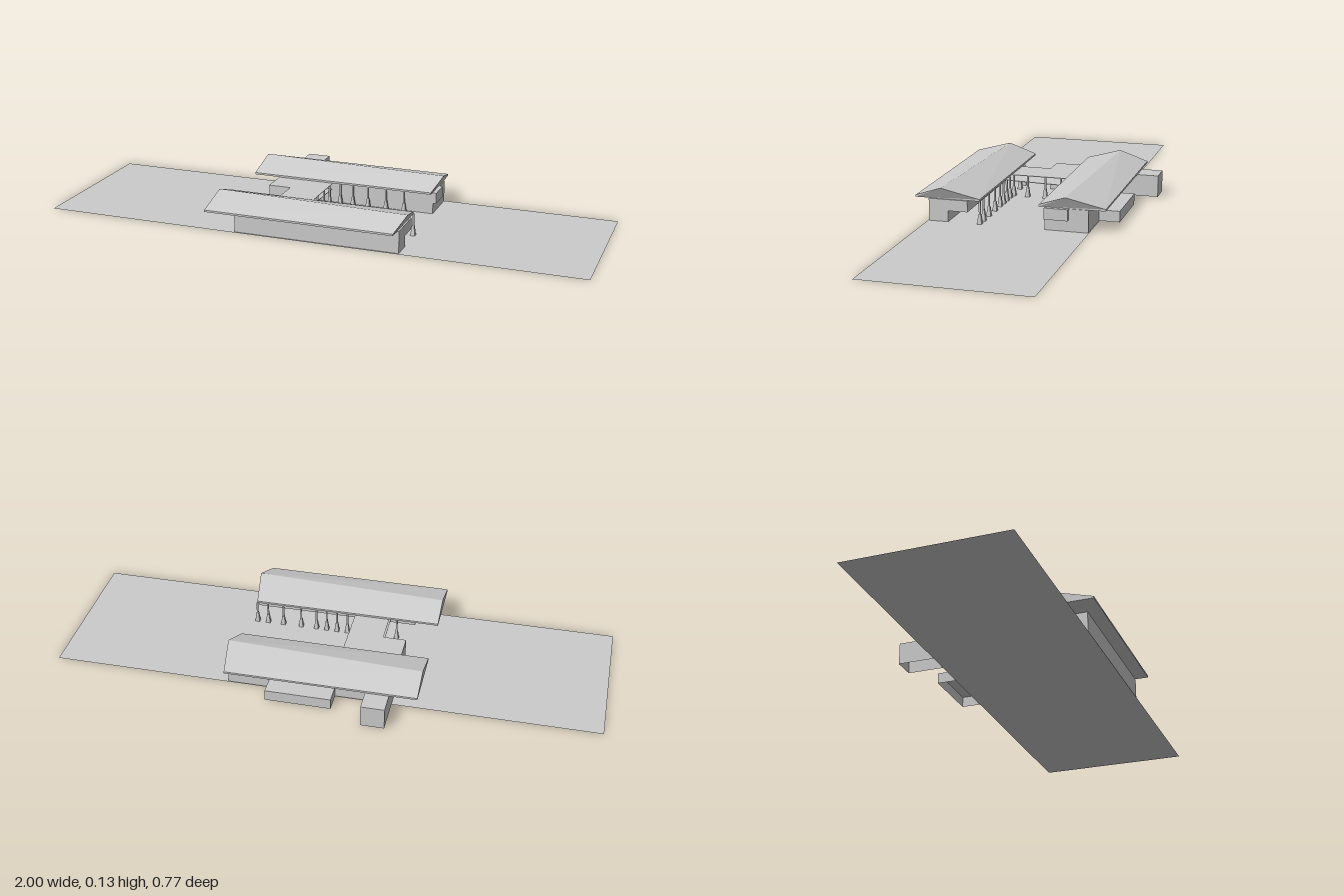
import * as THREE from 'three';

const grey = new THREE.MeshStandardMaterial({ color: 0xcccccc, flatShading: true, side: THREE.DoubleSide });
const WALL_TOP = 0.083;
const BASE = 0.002;

function addMesh(parent, name, geometry) {
  const mesh = new THREE.Mesh(geometry, grey);
  mesh.name = name;
  parent.add(mesh);
  return mesh;
}

// Box given by its limits; openBottom drops the underside
function addBox(parent, name, [x0, x1], [y0, y1], [z0, z1], openBottom = false) {
  const g = new THREE.BoxGeometry(x1 - x0, y1 - y0, z1 - z0);
  if (openBottom) {
    const index = Array.from(g.index.array);
    index.splice(18, 6);
    g.setIndex(index);
    g.clearGroups();
  }
  g.translate((x0 + x1) / 2, (y0 + y1) / 2, (z0 + z1) / 2);
  return addMesh(parent, name, g);
}

// Gable roof with a skewed ridge and a pointed +x end
function roofGeometry(zBack, zFront, ridgeLeft, ridgeRight) {
  const section = (xEave, xRidge, zRidge) => [
    [xEave, WALL_TOP, zFront], [xEave, 0.09, zFront], [xRidge, 0.127, zRidge],
    [xEave, 0.09, zBack], [xEave, WALL_TOP, zBack],
  ];
  const a = section(-0.355, -0.355, ridgeLeft);
  const b = section(0.342, 0.363, ridgeRight);
  const pos = [];
  const tri = (...points) => points.forEach((p) => pos.push(...p));
  for (let i = 0; i < 5; i++) {
    const j = (i + 1) % 5;
    tri(a[i], b[i], b[j]);
    tri(a[i], b[j], a[j]);
  }
  for (let i = 1; i < 4; i++) {
    tri(a[0], a[i], a[i + 1]);
    tri(b[0], b[i + 1], b[i]);
  }
  const g = new THREE.BufferGeometry();
  g.setAttribute('position', new THREE.Float32BufferAttribute(pos, 3));
  g.computeVertexNormals();
  return g;
}

// Thin square post on a flared pedestal
function addColumn(parent, x, z) {
  const column = new THREE.Group();
  column.name = 'column';
  const pedestal = new THREE.CylinderGeometry(0.006, 0.012, 0.036, 4);
  pedestal.rotateY(Math.PI / 4);
  pedestal.translate(0, BASE + 0.018, 0);
  addMesh(column, 'pedestal', pedestal);
  addBox(column, 'post', [-0.003, 0.003], [0.036, WALL_TOP], [-0.003, 0.003]);
  column.position.set(x, 0, z);
  parent.add(column);
}

export function createModel() {
  const model = new THREE.Group();
  model.name = 'courtyardBuilding';

  // Ground sheet
  const ground = new THREE.PlaneGeometry(2, 0.585);
  ground.rotateX(-Math.PI / 2);
  ground.translate(0, 0.001, 0.0455);
  addMesh(model, 'ground', ground);

  // Front wing
  const front = new THREE.Group();
  front.name = 'frontWing';
  addBox(front, 'walls', [-0.263, 0.348], [BASE, WALL_TOP], [0.262, 0.333], true);
  addBox(front, 'upperRooms', [-0.263, 0.348], [0.042, WALL_TOP], [0.19, 0.262]);
  addMesh(front, 'roof', roofGeometry(0.147, 0.384, 0.253, 0.283));
  model.add(front);

  // Back wing with its rear extensions
  const back = new THREE.Group();
  back.name = 'backWing';
  addBox(back, 'walls', [-0.255, 0.345], [BASE, WALL_TOP], [-0.245, -0.175], true);
  addBox(back, 'lowerRooms', [-0.255, 0.345], [BASE, 0.042], [-0.175, -0.09], true);
  addBox(back, 'upperRooms', [-0.255, 0.357], [0.042, WALL_TOP], [-0.175, -0.09]);
  addBox(back, 'lowExtension', [-0.05, 0.19], [BASE, 0.042], [-0.32, -0.245], true);
  addBox(back, 'tallExtension', [-0.255, -0.17], [BASE, WALL_TOP], [-0.384, -0.245], true);
  addMesh(back, 'roof', roofGeometry(-0.305, -0.068, -0.197, -0.167));
  model.add(back);

  // Link between the wings: room, flat roof and raised walkway
  const link = new THREE.Group();
  link.name = 'link';
  addBox(link, 'room', [-0.255, -0.17], [BASE, 0.081], [-0.09, 0.033], true);
  addBox(link, 'roomRoof', [-0.255, -0.17], [0.081, WALL_TOP], [-0.09, 0.033]);
  addBox(link, 'flatRoof', [-0.17, -0.04], [0.081, WALL_TOP], [-0.09, 0.19]);
  const walkway = addBox(link, 'walkway', [-0.17, -0.05], [-0.001, 0.001], [-0.155, 0.155]);
  walkway.position.set(0, 0.054, 0.035);
  walkway.rotation.x = -0.02;
  model.add(link);

  // Colonnade around the courtyard
  const colonnade = new THREE.Group();
  colonnade.name = 'colonnade';
  [-0.2, -0.14, -0.01, 0.03, 0.07, 0.11, 0.17, 0.24, 0.3, 0.342].forEach((x) => addColumn(colonnade, x, 0.146));
  [-0.01, 0.04, 0.1, 0.17, 0.24].forEach((x) => addColumn(colonnade, x, -0.07));
  [-0.042, 0.018, 0.086, 0.14].forEach((z) => addColumn(colonnade, -0.042, z));
  model.add(colonnade);

  return model;
}
